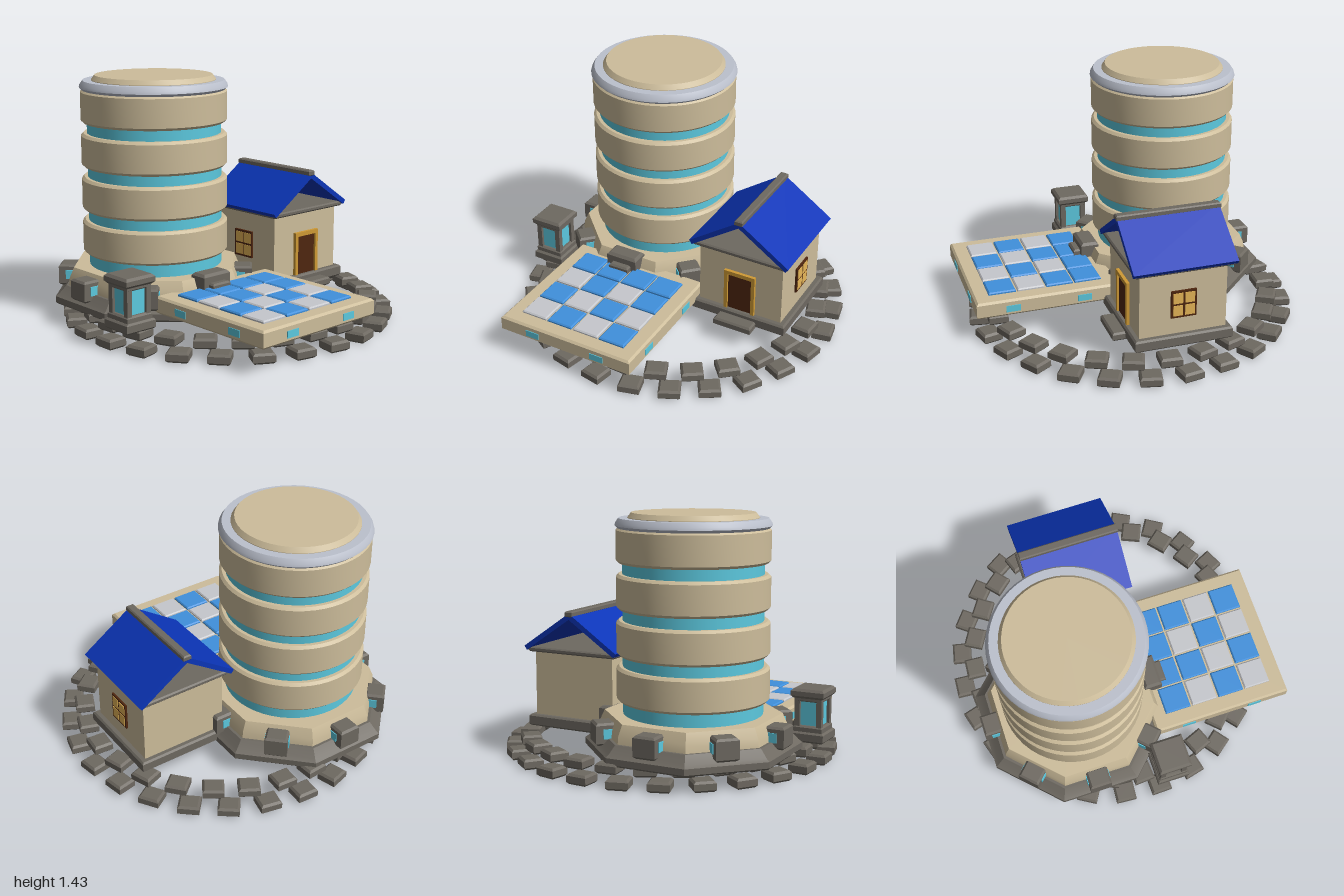
import * as THREE from 'three';
import { toCreasedNormals } from 'three/addons/utils/BufferGeometryUtils.js';

const mat = (name, color) => {
  const m = new THREE.MeshStandardMaterial({ color });
  m.name = name;
  return m;
};

export function createModel() {
  const model = new THREE.Group();
  const sand = mat('sandstone', 0xcdbd9b);
  const stone = mat('grey stone', 0x6e6961);
  const glass = mat('cyan glass', 0x5cc9df);
  const roofBlue = mat('roof blue', 0x0b35b8);
  const silver = mat('silver', 0xbcc1cd);
  const tileBlue = mat('tile blue', 0x4090dc);
  const tilePale = mat('tile pale', 0xc6c8cd);
  const gold = mat('gold trim', 0xcf9a35);
  const wood = mat('dark wood', 0x4f260f);
  const pane = mat('warm pane', 0xe6b658);

  const add = (parent, name, geo, material, x = 0, y = 0, z = 0) => {
    const m = new THREE.Mesh(geo, material);
    m.name = name;
    m.position.set(x, y, z);
    parent.add(m);
    return m;
  };
  const group = (name, x = 0, y = 0, z = 0, parent = model) => {
    const g = new THREE.Group();
    g.name = name;
    g.position.set(x, y, z);
    parent.add(g);
    return g;
  };
  const box = (w, h, d) => new THREE.BoxGeometry(w, h, d);
  // Box with chamfered edges, standing on y = 0
  const slab = (w, h, d, b = 0.01) => {
    const x = w / 2 - b, z = d / 2 - b;
    const s = new THREE.Shape([[-x, -z], [x, -z], [x, z], [-x, z]].map(p => new THREE.Vector2(...p)));
    return new THREE.ExtrudeGeometry(s, { depth: h - 2 * b, bevelEnabled: true, bevelSize: b, bevelThickness: b, bevelSegments: 1 })
      .rotateX(-Math.PI / 2).translate(0, b, 0);
  };
  const lathe = (pts, seg) => toCreasedNormals(
    new THREE.LatheGeometry(pts.map(p => new THREE.Vector2(...p)), seg), 0.4);
  // Eight-sided solid measured across its flats
  const octagon = pts => lathe(pts.map(([r, y]) => [r / Math.cos(Math.PI / 8), y]), 8).rotateY(Math.PI / 8);

  // Two staggered courses of loose stones
  const ring = group('stoneRing');
  const stoneGeo = slab(0.125, 0.06, 0.115, 0.012);
  const step = Math.PI * 2 / 26;
  [[0.925, 0, 0.063], [0.84, 0.057, 0.163]].forEach(([r, y, start]) => {
    for (let i = 0; i < 26; i++) {
      const a = start + i * step;
      const m = add(ring, 'ringStone', stoneGeo, stone, Math.sin(a) * r, y, -Math.cos(a) * r);
      m.rotation.y = -a + 0.12 * Math.sin(i * 2.3 + y * 40);
    }
  });

  // Tower on an eight-sided plinth
  const tower = group('tower', -0.3, 0, -0.31);
  add(tower, 'plinth', octagon([[0, 0.1], [0.56, 0.1], [0.57, 0.11], [0.57, 0.145], [0.55, 0.16], [0.51, 0.205], [0, 0.205]]), stone);
  add(tower, 'towerFoot', octagon([[0, 0.2], [0.495, 0.2], [0.49, 0.25], [0.465, 0.31], [0, 0.31]]), sand);
  add(tower, 'glassCore', new THREE.CylinderGeometry(0.395, 0.395, 1.05, 48), glass, 0, 0.825, 0);
  for (let i = 0; i < 4; i++) {
    add(tower, 'floorBand', lathe([[0.38, 0], [0.415, 0], [0.43, 0.015], [0.43, 0.18], [0.415, 0.195], [0.38, 0.195]], 48),
      sand, 0, 0.384 + i * 0.257, 0);
  }
  add(tower, 'roofRing', lathe([[0.36, 1.345], [0.42, 1.345], [0.436, 1.36], [0.432, 1.375], [0.415, 1.4], [0.36, 1.4]], 48), silver);
  add(tower, 'roofDisc', lathe([[0, 1.39], [0.365, 1.39], [0.365, 1.403], [0.345, 1.43], [0, 1.43]], 48), sand);

  // Buttress blocks with lit sides
  for (let i = 0; i < 8; i++) {
    const b = group('buttress', 0, 0, 0, tower);
    b.rotation.y = i * Math.PI / 4;
    if (i === 0) {
      add(b, 'entranceBlock', slab(0.2, 0.14, 0.11, 0.015), stone, 0, 0.2, 0.495);
      add(b, 'entranceStep', slab(0.13, 0.09, 0.14), stone, 0, 0.2, 0.52);
    } else {
      add(b, 'buttressBlock', slab(0.132, 0.125, 0.115, 0.012), stone, 0, 0.165, 0.522);
      add(b, 'buttressLight', box(0.142, 0.055, 0.065), glass, 0, 0.23, 0.505);
    }
  }

  // Tiled terrace
  const terrace = group('terrace', -0.23, 0, 0.55);
  add(terrace, 'terraceDeck', slab(0.86, 0.1, 0.86, 0.012), sand, 0, 0.15, 0);
  const tileGeo = slab(0.162, 0.022, 0.162, 0.007);
  ['BBBB', 'WBWB', 'BWBW', 'WBWB'].forEach((row, r) => [...row].forEach((c, i) =>
    add(terrace, 'tile', tileGeo, c === 'B' ? tileBlue : tilePale, (i - 1.5) * 0.173, 0.243, (r - 1.5) * 0.173)));
  for (let i = 0; i < 4; i++) {
    const side = group('terraceLights', 0, 0, 0, terrace);
    side.rotation.y = i * Math.PI / 2;
    for (const x of [-0.215, 0.215]) add(side, 'terraceLight', box(0.085, 0.04, 0.008), glass, x, 0.195, 0.43);
  }

  // House
  const house = group('house', 0.48, 0, -0.075);
  add(house, 'foundation', slab(0.6, 0.07, 0.58), stone, 0, 0.115, 0);
  add(house, 'doorStep', slab(0.24, 0.05, 0.14), stone, 0, 0.105, 0.295);
  add(house, 'walls', box(0.53, 0.4, 0.515), sand, 0, 0.38, 0);
  add(house, 'eaveSlab', slab(0.59, 0.03, 0.58, 0.008), stone, 0, 0.57, 0);
  const chevron = new THREE.Shape([[-0.315, 0.605], [-0.298, 0.582], [0, 0.783], [0.298, 0.582], [0.315, 0.605], [0, 0.82]]
    .map(p => new THREE.Vector2(...p)));
  add(house, 'roof', new THREE.ExtrudeGeometry(chevron, { depth: 0.61, bevelEnabled: false }), roofBlue, 0, 0, -0.305);
  add(house, 'ridgeBeam', slab(0.05, 0.035, 0.62, 0.007), stone, 0, 0.797, 0);
  // Door with a gold surround
  for (const s of [-1, 1]) add(house, 'doorPost', box(0.022, 0.27, 0.03), gold, s * 0.087, 0.315, 0.262);
  add(house, 'doorLintel', box(0.196, 0.025, 0.03), gold, 0, 0.4375, 0.262);
  add(house, 'door', box(0.155, 0.245, 0.012), wood, 0, 0.3025, 0.258);
  // Four-pane window on each side wall
  for (const s of [-1, 1]) {
    const w = group('window', s * 0.265, 0.37, 0, house);
    w.rotation.y = s * Math.PI / 2;
    add(w, 'windowFrame', box(0.15, 0.165, 0.024), wood);
    for (const x of [-1, 1]) for (const y of [-1, 1])
      add(w, 'windowPane', box(0.057, 0.064, 0.006), pane, x * 0.035, y * 0.038, 0.012);
  }

  // Stone lantern
  const lantern = group('lantern', -0.85, 0, 0.135);
  add(lantern, 'lanternBase', slab(0.2, 0.06, 0.2), stone, 0, 0.11, 0);
  add(lantern, 'lanternSill', slab(0.175, 0.045, 0.175), stone, 0, 0.16, 0);
  add(lantern, 'lanternGlass', box(0.13, 0.17, 0.13), glass, 0, 0.28, 0);
  for (const x of [-1, 1]) for (const z of [-1, 1])
    add(lantern, 'lanternPost', box(0.032, 0.17, 0.032), stone, x * 0.066, 0.28, z * 0.066);
  add(lantern, 'lanternLintel', slab(0.165, 0.03, 0.165, 0.006), stone, 0, 0.345, 0);
  add(lantern, 'lanternCap', slab(0.2, 0.055, 0.2, 0.014), stone, 0, 0.365, 0);

  return model;
}
